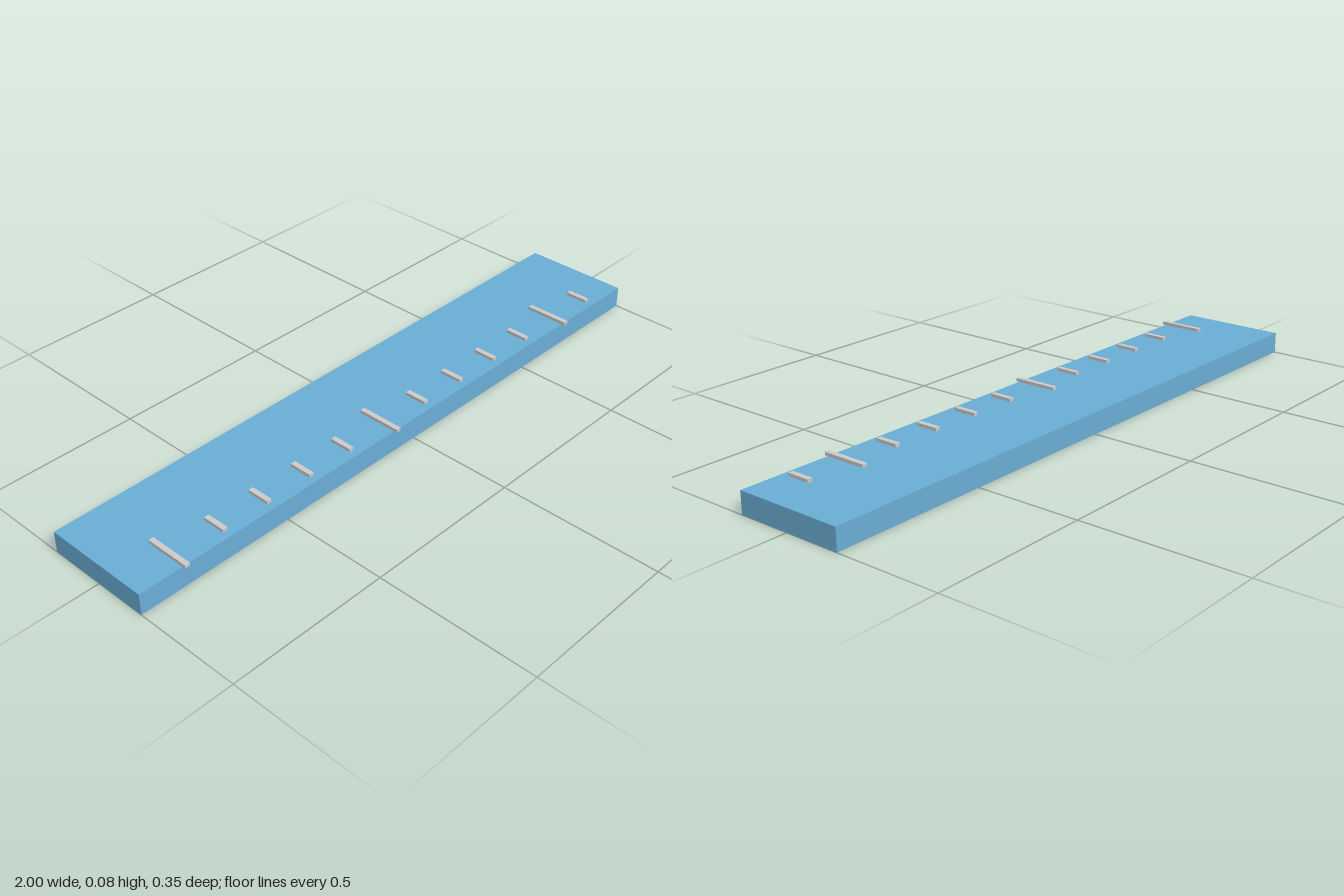
import * as THREE from 'three';

export function createModel() {
  const group = new THREE.Group();
  const blue = new THREE.MeshStandardMaterial({ color: 0x6baed6 });
  const grey = new THREE.MeshStandardMaterial({ color: 0xcccccc });

  // Box given by its limits in y and z
  function addBox(name, material, x, width, [y0, y1], [z0, z1]) {
    const mesh = new THREE.Mesh(new THREE.BoxGeometry(width, y1 - y0, z1 - z0), material);
    mesh.position.set(x, (y0 + y1) / 2, (z0 + z1) / 2);
    mesh.name = name;
    group.add(mesh);
  }

  // Flat slab
  addBox('slab', blue, 0, 2, [0, 0.067], [-0.176, 0.166]);

  // Row of tick bars on top, every fifth one long and overhanging the front edge
  const markCount = 12, firstX = -0.853, spacing = 0.1555;
  for (let i = 0; i < markCount; i++) {
    const long = i % 5 === 0;
    addBox(long ? 'longMark' : 'shortMark', grey, firstX + i * spacing, 0.016,
      [0.067, 0.077], long ? [0.035, 0.176] : [0.07, 0.142]);
  }
  return group;
}
